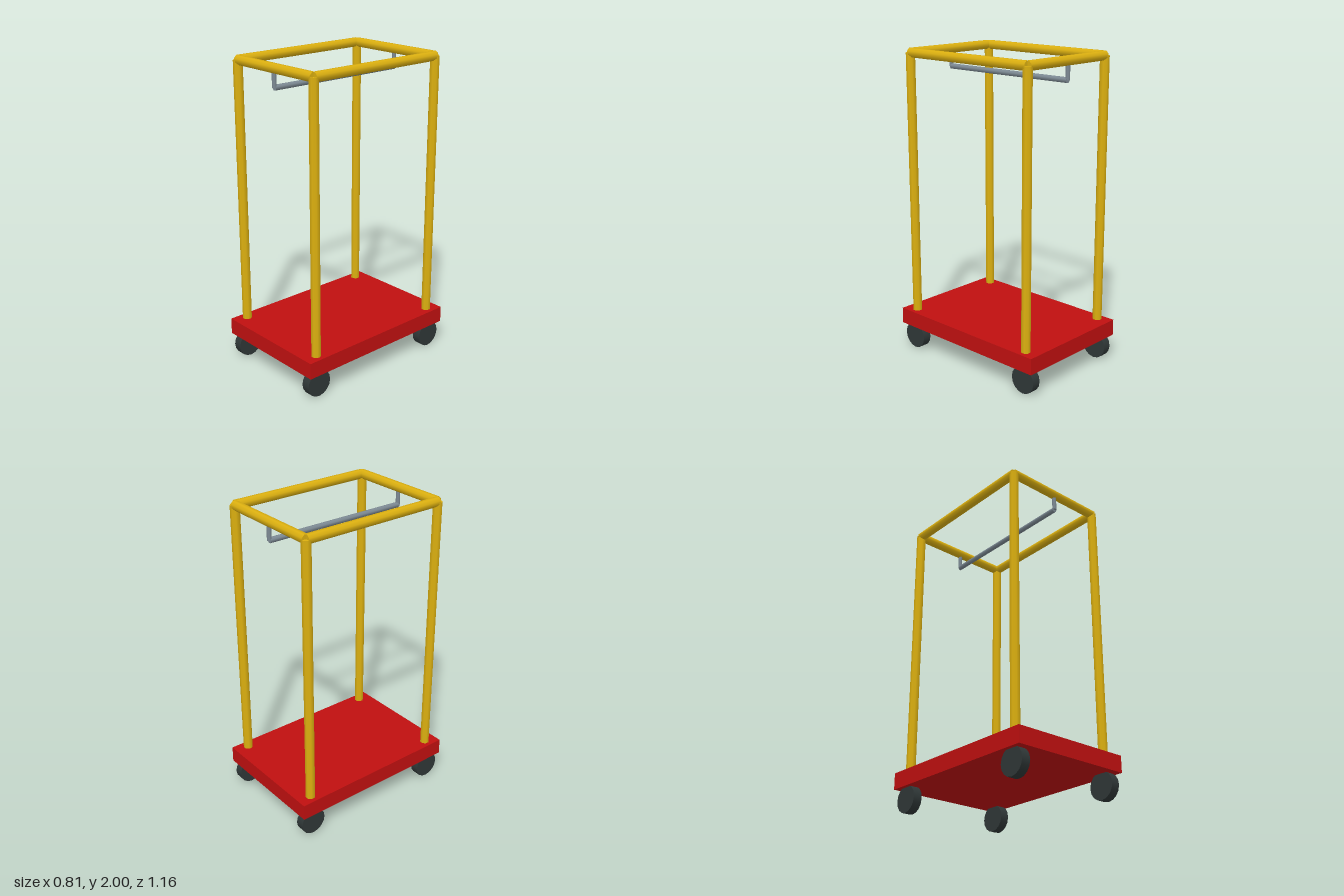
import * as THREE from 'three';

export function createModel() {
  const mat = (name, color) => {
    const m = new THREE.MeshStandardMaterial({ color });
    m.name = name;
    return m;
  };
  const yellow = mat('yellow paint', 0xdcb010);
  const red = mat('red deck', 0xc01010);
  const steel = mat('grey steel', 0x7d8a94);
  const rubber = mat('dark rubber', 0x2f3737);

  const model = new THREE.Group();
  model.name = 'garmentTrolley';

  const add = (name, geometry, material, x, y, z) => {
    const mesh = new THREE.Mesh(geometry, material);
    mesh.name = name;
    mesh.position.set(x, y, z);
    model.add(mesh);
    return mesh;
  };

  // Eight-sided tube with flats facing the axes; axis is 'x', 'y' or 'z'
  const tube = (halfWidth, length, axis) => {
    const r = halfWidth / Math.cos(Math.PI / 8);
    const g = new THREE.CylinderGeometry(r, r, length, 8).rotateY(Math.PI / 8);
    if (axis === 'x') g.rotateZ(Math.PI / 2);
    if (axis === 'z') g.rotateX(Math.PI / 2);
    return g;
  };

  const px = 0.348, pz = 0.487; // post centres
  const bar = 0.028, topY = 2 - bar;
  const deckBottom = 0.16, deckTop = 0.265;
  const railY = 1.858;

  // Deck
  add('deck', new THREE.BoxGeometry(0.806, deckTop - deckBottom, 1.156), red,
    0, (deckTop + deckBottom) / 2, 0);

  // Posts and wheels at the four corners
  const postLength = topY - deckTop + 0.02;
  const wheelR = 0.087;
  for (const sx of [-1, 1]) {
    for (const sz of [-1, 1]) {
      add('post', tube(bar, postLength, 'y'), yellow, sx * px, topY - postLength / 2, sz * pz);
      add('wheel', new THREE.CylinderGeometry(wheelR, wheelR, 0.058, 16).rotateZ(Math.PI / 2),
        rubber, sx * px, wheelR, sz * pz);
    }
  }

  // Top frame
  for (const s of [-1, 1]) {
    add('sideTopBar', tube(bar, 2 * pz, 'z'), yellow, s * px, topY, 0);
    add('endTopBar', tube(bar, 2 * px, 'x'), yellow, 0, topY, s * pz);
  }

  // Hanging rail on two short hangers
  add('hangingRail', tube(0.016, 2 * pz, 'z'), steel, 0, railY, 0);
  for (const s of [-1, 1]) {
    add('railHanger', tube(0.013, topY - railY, 'y'), steel, 0, (topY + railY) / 2, s * pz);
  }

  return model;
}
